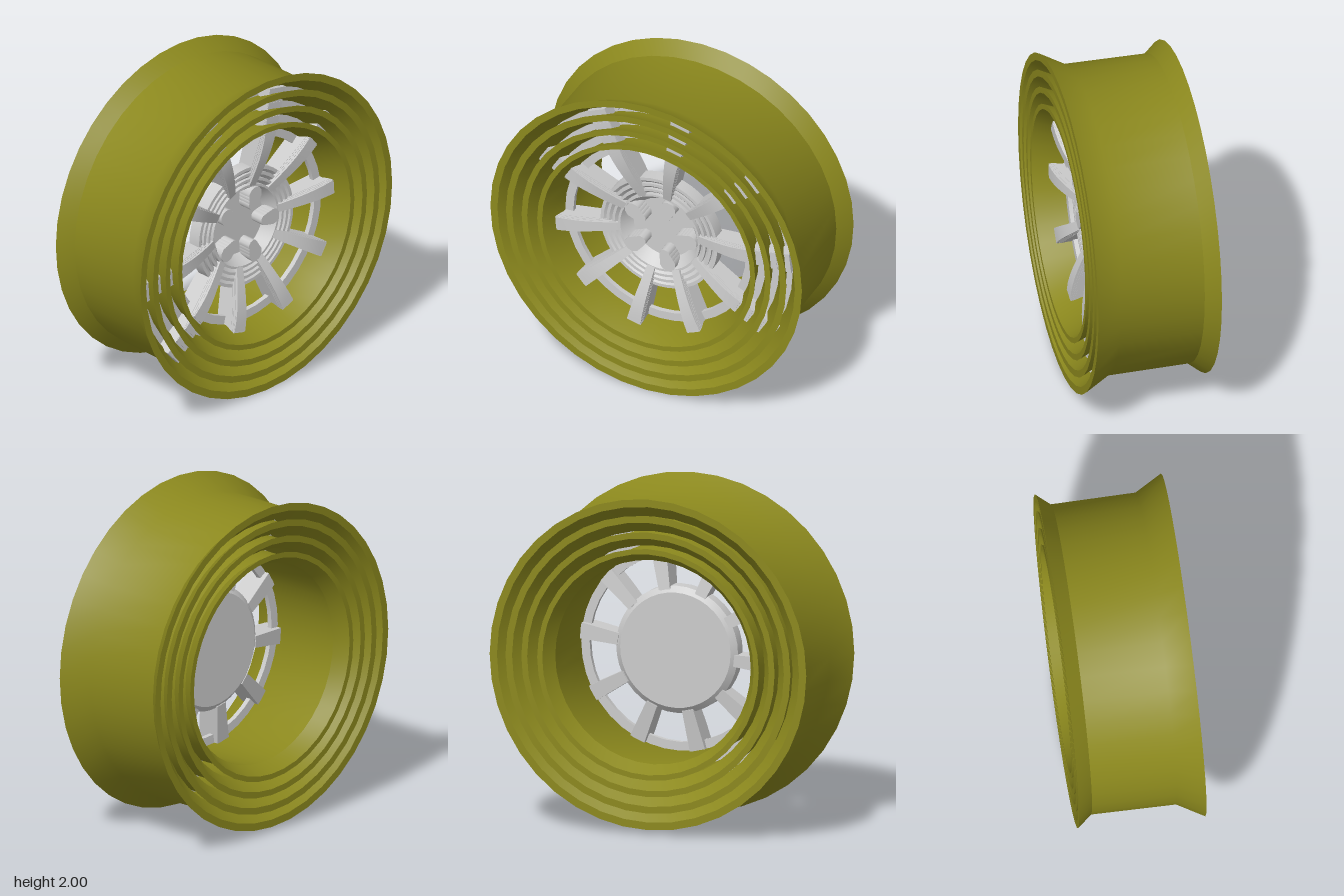
import * as THREE from 'three';
import { toCreasedNormals } from 'three/addons/utils/BufferGeometryUtils.js';

const grey = new THREE.MeshStandardMaterial({ color: 0xcccccc });
const olive = new THREE.MeshStandardMaterial({ color: 0x8b881d });
const DEG = Math.PI / 180;

// Closed ring or disc turned around the x axis from [radius, x] points
function turned(points, crease = 0.6) {
  const g = new THREE.LatheGeometry(points.map(([r, x]) => new THREE.Vector2(r, x)), 40);
  g.rotateZ(-Math.PI / 2);
  return toCreasedNormals(g, crease);
}

// Spoke running along +y, widening and stepping forward towards the rim
function spokeGeometry() {
  const g = new THREE.BoxGeometry(1, 1, 1, 1, 6, 1);
  const p = g.attributes.position;
  for (let i = 0; i < p.count; i++) {
    const t = p.getY(i) + 0.5;
    const front = 0.2 + 0.08 * Math.sin(t * Math.PI / 2);
    const back = 0.1 + 0.07 * t;
    p.setXYZ(i, p.getX(i) > 0 ? front : back, 0.36 + 0.526 * t, p.getZ(i) * (0.07 + 0.055 * t));
  }
  return toCreasedNormals(g, 0.5);
}

// Small cylinder lying along x at a given radius
function peg(radius, x0, x1, r, sides) {
  const g = new THREE.CylinderGeometry(radius, radius, x1 - x0, sides);
  g.rotateZ(-Math.PI / 2);
  g.translate((x0 + x1) / 2, r, 0);
  return g;
}

export function createModel() {
  const model = new THREE.Group();
  model.name = 'wheel';

  const rim = turned([
    [0.975, -0.37], [0.905, -0.285], [0.91, 0.21], [1, 0.37],
    [0.955, 0.37], [0.865, 0.21], [0.86, -0.285], [0.93, -0.37], [0.975, -0.37],
  ]);
  const ring = turned([[0.79, 0.16], [0.87, 0.16], [0.87, 0.19], [0.79, 0.19], [0.79, 0.16]]);
  const hub = turned([
    [0, 0.09], [0.34, 0.09], [0.375, 0.12], [0.375, 0.2], [0.355, 0.2], [0.28, 0.13], [0, 0.13],
  ], 0.4);
  const spoke = spokeGeometry();
  const lug = peg(0.05, 0.11, 0.215, 0.2, 10);
  const valve = peg(0.009, 0.2, 0.29, 0.89, 8);

  // Four nested layers, each narrowed towards the axle
  for (const s of [1, 0.9, 0.8, 0.7]) {
    const layer = new THREE.Group();
    layer.name = 'wheelLayer';
    layer.scale.set(1, s, s);
    layer.position.y = 1;

    const add = (name, geometry, material, angle = 90) => {
      const m = new THREE.Mesh(geometry, material);
      m.name = name;
      m.rotation.x = (angle - 90) * DEG;
      layer.add(m);
    };

    add('rim', rim, olive);
    add('spokeRing', ring, grey);
    add('hub', hub, grey);
    for (let i = 0; i < 10; i++) add('spoke', spoke, grey, 6.5 + 36 * i);
    for (let i = 0; i < 5; i++) add('lugNut', lug, grey, 72 * i);
    add('valve', valve, grey, 104.8);
    model.add(layer);
  }
  return model;
}
